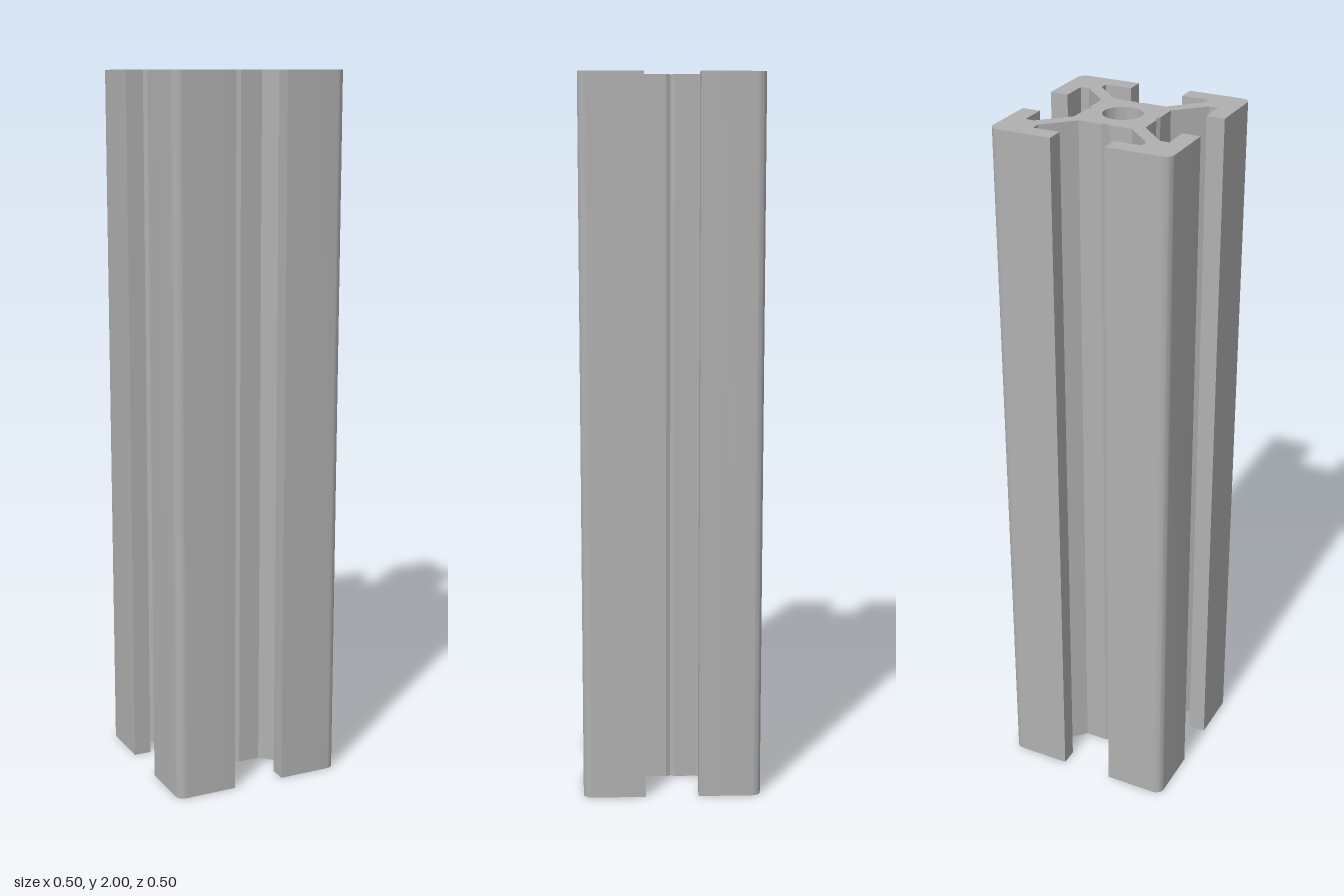
import * as THREE from 'three';
import { toCreasedNormals } from 'three/addons/utils/BufferGeometryUtils.js';

const LENGTH = 2;
const HALF = 0.25; // half width of the profile
const RADIUS = 0.025; // outer corner radius
const BORE = 0.053; // centre hole radius

// One quarter of the T-slot outline, counter-clockwise from the +x groove
function quarterOutline() {
  const points = [
    [0.093, 0], [0.1, 0.012], [0.1, 0.075], // core wall with its scribe groove
    [0.175, 0.15], [0.2, 0.15], // diagonal web
    [0.2, 0.075], [HALF, 0.075], // lip
  ];
  const centre = HALF - RADIUS;
  for (let i = 0; i <= 8; i++) {
    const a = (i / 8) * Math.PI / 2;
    points.push([centre + RADIUS * Math.cos(a), centre + RADIUS * Math.sin(a)]);
  }
  points.push(
    [0.075, HALF], [0.075, 0.2], // second lip
    [0.15, 0.2], [0.15, 0.175], // other side of the web
    [0.075, 0.1], [0.012, 0.1],
  );
  return points.map(([x, y]) => new THREE.Vector2(x, y));
}

export function createModel() {
  const aluminium = new THREE.MeshStandardMaterial({ color: 0xb0b0b0 });
  aluminium.name = 'aluminium grey';

  // Repeat the quarter around the centre
  const outline = [];
  const origin = new THREE.Vector2();
  for (let q = 0; q < 4; q++) {
    for (const p of quarterOutline()) outline.push(p.rotateAround(origin, q * Math.PI / 2));
  }
  const shape = new THREE.Shape(outline);
  shape.holes.push(new THREE.Path().absarc(0, 0, BORE, 0, Math.PI * 2, true));

  // Extrude upwards, smoothing only the bore and rounded corners
  const extruded = new THREE.ExtrudeGeometry(shape, {
    depth: LENGTH, bevelEnabled: false, curveSegments: 32,
  });
  extruded.rotateX(-Math.PI / 2);
  const rail = new THREE.Mesh(toCreasedNormals(extruded, 0.5), aluminium);
  rail.name = 'slottedRail';

  const group = new THREE.Group();
  group.name = 'slottedExtrusion';
  group.add(rail);
  return group;
}
